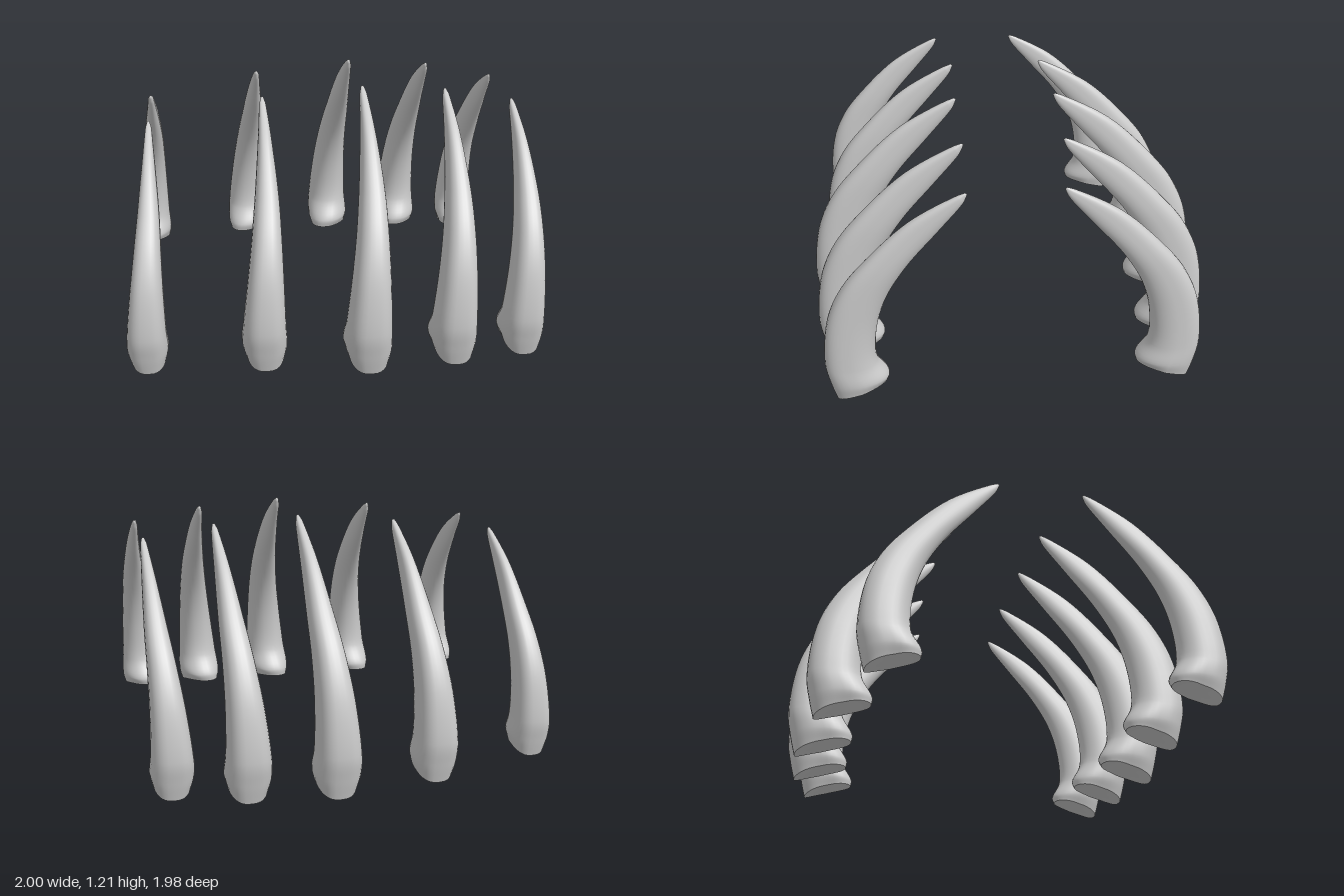
import * as THREE from 'three';

// Cross-sections from root to tip: outer z,y  inner z,y  left x, right x
const SECTIONS = [
  [-0.045, 0.00, -0.322, 0.07, -0.095, 0.098],
  [-0.020, 0.10, -0.328, 0.11, -0.114, 0.112],
  [0.000, 0.22, -0.273, 0.22, -0.108, 0.105],
  [-0.030, 0.48, -0.278, 0.42, -0.080, 0.099],
  [-0.110, 0.67, -0.335, 0.62, -0.052, 0.096],
  [-0.240, 0.84, -0.445, 0.81, -0.025, 0.092],
  [-0.465, 1.06, -0.610, 1.01, 0.005, 0.076],
  [-0.700, 1.195, -0.728, 1.155, 0.026, 0.060],
  [-0.738, 1.21, -0.745, 1.19, 0.035, 0.051],
];
const AROUND = 32, STEPS = 48;

const spow = (v, e) => Math.sign(v) * Math.abs(v) ** e;

// Lofted claw; dir = 1 has its outer curve toward +z, dir = -1 toward -z
function clawGeometry(dir) {
  const curve = (f) => new THREE.CatmullRomCurve3(SECTIONS.map(f), false, 'centripetal');
  const outer = curve((s) => new THREE.Vector3(0, s[1], s[0]));
  const inner = curve((s) => new THREE.Vector3(0, s[3], s[2]));
  const sides = curve((s, i) => new THREE.Vector3(s[4], s[5], i * 0.1));
  const pos = [], idx = [];
  const tri = (a, b, c) => (dir > 0 ? idx.push(a, b, c) : idx.push(a, c, b));
  const push = (x, y, z) => pos.push(x, y, z * dir);

  const ring = (t) => {
    const o = outer.getPoint(t), n = inner.getPoint(t), w = sides.getPoint(t);
    const foot = Math.max(0, 1 - t * 4);
    for (let j = 0; j < AROUND; j++) {
      const a = (j / AROUND) * Math.PI * 2, c = Math.cos(a), s = Math.sin(a);
      // boxier on the outside, rounder inside, foot skewed to one side
      const d = (1 - spow(c, c > 0 ? 0.75 : 1)) / 2;
      const k = spow(s, c > 0 ? 0.75 : 0.9);
      const x = (w.x + w.y) / 2 + (k * (w.y - w.x)) / 2 - foot * 0.035 * Math.max(0, -c);
      const y = THREE.MathUtils.lerp(o.y, n.y, d) + 0.02 * s * s * foot;
      push(x, y, THREE.MathUtils.lerp(o.z, n.z, d));
    }
  };

  for (let i = 0; i <= STEPS; i++) ring(i / STEPS);
  for (let i = 0; i < STEPS; i++)
    for (let j = 0; j < AROUND; j++) {
      const a = i * AROUND + j, b = i * AROUND + ((j + 1) % AROUND);
      tri(a, b, a + AROUND);
      tri(b, b + AROUND, a + AROUND);
    }

  // rounded tip
  const tip = pos.length / 3, last = STEPS * AROUND;
  push(0.043, 1.206, -0.75);
  for (let j = 0; j < AROUND; j++) tri(last + j, last + ((j + 1) % AROUND), tip);

  // root cap with its own rim so the edge stays crisp
  const rim = pos.length / 3;
  ring(0);
  push(0, 0.055, -0.18);
  for (let j = 0; j < AROUND; j++) tri(rim + AROUND, rim + ((j + 1) % AROUND), rim + j);

  const g = new THREE.BufferGeometry();
  g.setAttribute('position', new THREE.Float32BufferAttribute(pos, 3));
  g.setIndex(idx);
  g.computeVertexNormals();
  return g;
}

// x, base y, scale, outer z of the front claw, outer z of the back claw
const CLAWS = [
  [-0.90, 0.033, 0.863, 0.92, -0.785],
  [-0.35, 0.015, 0.95, 0.93, -0.945],
  [0.14, 0.0, 1.0, 0.985, -0.99],
  [0.555, 0.01, 0.97, 0.96, -0.955],
  [0.895, 0.025, 0.908, 0.925, -0.865],
];

export function createModel() {
  const group = new THREE.Group();
  group.name = 'clawSet';
  const material = new THREE.MeshStandardMaterial({ color: 0xcccccc });
  for (const dir of [1, -1]) {
    const row = new THREE.Group();
    row.name = dir > 0 ? 'frontRow' : 'backRow';
    const geometry = clawGeometry(dir);
    CLAWS.forEach(([x, y, s, zFront, zBack], i) => {
      const claw = new THREE.Mesh(geometry, material);
      claw.name = `${dir > 0 ? 'front' : 'back'}Claw${i + 1}`;
      claw.position.set(x, y, dir > 0 ? zFront : zBack);
      claw.scale.setScalar(s);
      row.add(claw);
    });
    group.add(row);
  }
  return group;
}
